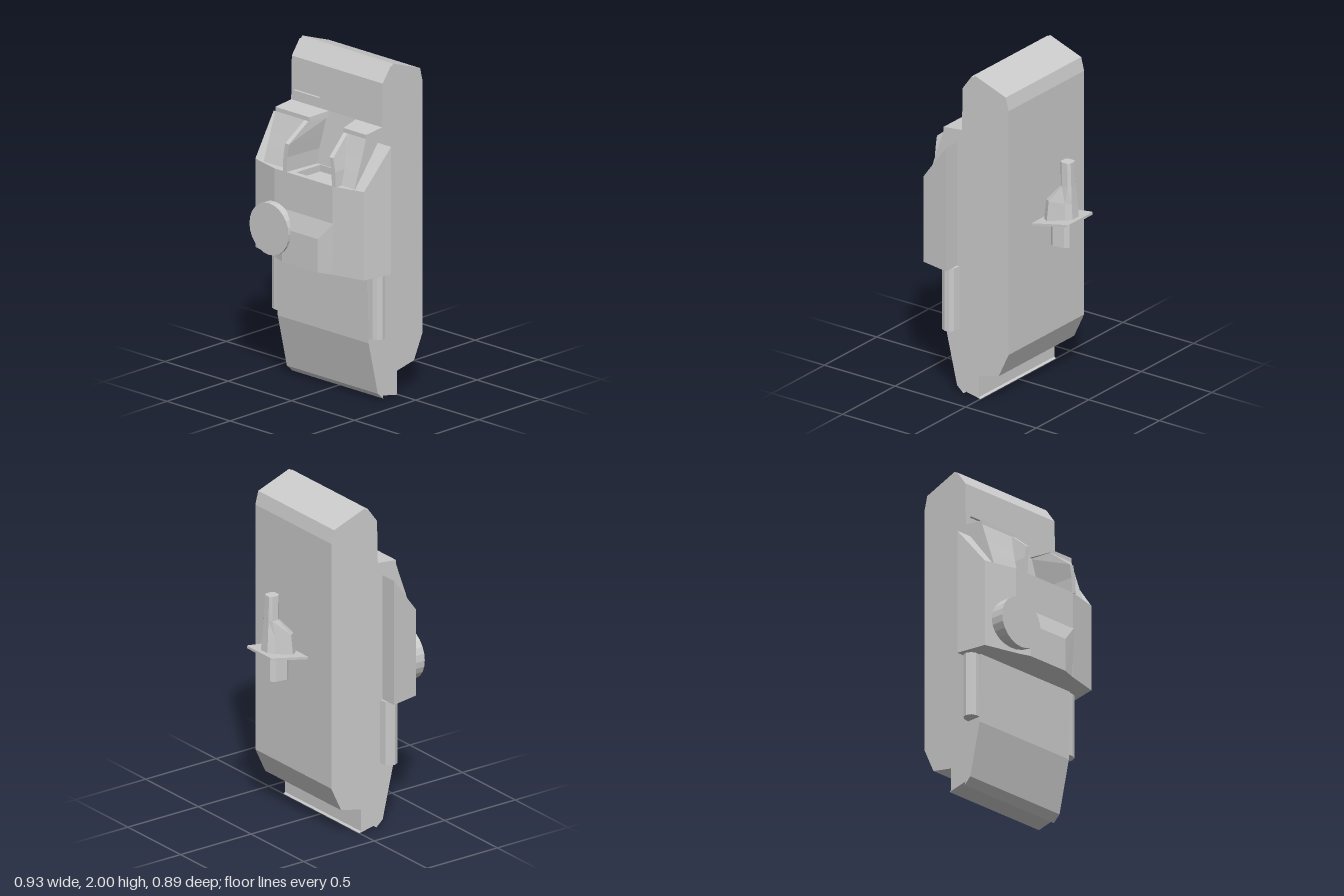
import * as THREE from 'three';
import { ConvexGeometry } from 'three/addons/geometries/ConvexGeometry.js';

const material = new THREE.MeshStandardMaterial({ color: 0xcccccc, flatShading: true });

function add(group, name, geometry) {
  const mesh = new THREE.Mesh(geometry, material);
  mesh.name = name;
  group.add(mesh);
  return mesh;
}

const hull = (points) => new ConvexGeometry(points.map((p) => new THREE.Vector3(...p)));
const toShape = (points) => new THREE.Shape(points.map((p) => new THREE.Vector2(...p)));

// Stacks outlines of [x, z] points at rising heights and caps both ends.
function loft(levels) {
  const n = levels[0].ring.length;
  const pos = levels.flatMap(({ y, ring }) => ring.flatMap(([x, z]) => [x, y, z]));
  const outline = levels[0].ring.map(([x, z]) => new THREE.Vector2(x, z));
  const flip = THREE.ShapeUtils.isClockWise(outline);
  const index = [];
  const tri = (a, b, c) => (flip ? index.push(a, c, b) : index.push(a, b, c));
  for (let k = 0; k < levels.length - 1; k++) {
    for (let i = 0; i < n; i++) {
      const a = k * n + i, b = k * n + ((i + 1) % n);
      tri(a, a + n, b);
      tri(b, a + n, b + n);
    }
  }
  const caps = [[0, false], [levels.length - 1, true]];
  for (const [k, top] of caps) {
    const pts = levels[k].ring.map(([x, z]) => new THREE.Vector2(x, z));
    const ccw = !THREE.ShapeUtils.isClockWise(pts);
    for (const [a, b, c] of THREE.ShapeUtils.triangulateShape(pts, [])) {
      const area = (pts[b].x - pts[a].x) * (pts[c].y - pts[a].y) - (pts[b].y - pts[a].y) * (pts[c].x - pts[a].x);
      const up = area < 0; // clockwise in x,z faces up
      const t = up === top ? [a, b, c] : [a, c, b];
      index.push(...t.map((i) => i + k * n));
    }
  }
  const geometry = new THREE.BufferGeometry();
  geometry.setAttribute('position', new THREE.Float32BufferAttribute(pos, 3));
  geometry.setIndex(index);
  const flat = geometry.toNonIndexed();
  flat.computeVertexNormals();
  return flat;
}

// Horizontal slab from an [x, z] outline, with an optional hole.
function slab(points, y0, y1, hole) {
  const shape = toShape(points.map(([x, z]) => [x, -z]));
  if (hole) shape.holes.push(new THREE.Path(hole.map(([x, z]) => new THREE.Vector2(x, -z))));
  return new THREE.ExtrudeGeometry(shape, { depth: y1 - y0, bevelEnabled: false })
    .rotateX(-Math.PI / 2).translate(0, y0, 0);
}

export function createModel() {
  const model = new THREE.Group();
  model.name = 'device';

  // Main body: side profile as [z, y], extruded across the width
  const profile = [
    [0.04, 2], [-0.18, 1.92], [-0.2, 1.84], [-0.2, 0.33], [-0.13, 0.18], [0.01, 0.15],
    [0.01, 0.015], [0, 0.005], [0.125, 0.03], [0.12, 0.01], [0.165, 0.05], [0.24, 0.37],
    [0.25, 0.79], [0.25, 1.2], [0.17, 1.25], [0.165, 1.32], [0.13, 1.64],
    [0.125, 1.9], [0.06, 1.99], [0.05, 1.985],
  ];
  add(model, 'body', new THREE.ExtrudeGeometry(toShape(profile), { depth: 0.72, bevelEnabled: false })
    .rotateY(-Math.PI / 2).translate(0.36, 0, 0));
  add(model, 'slot', new THREE.BoxGeometry(0.2, 0.01, 0.03).translate(-0.23, 1.7, 0.13));

  // Front housing with a shallow tray in its top
  const outline = [
    [-0.465, 0.165], [-0.43, 0.35], [-0.23, 0.4], [0.23, 0.4], [0.43, 0.35], [0.465, 0.165],
  ];
  const tray = [[-0.09, 0.172], [-0.09, 0.365], [0.175, 0.365], [0.175, 0.172]];
  add(model, 'housing', slab(outline, 0.79, 1.28));
  add(model, 'housingRim', slab(outline, 1.28, 1.32, tray));
  add(model, 'frontBulge', hull([-1, 1].flatMap((s) => [
    [s * 0.24, 1.1, 0.399], [s * 0.14, 0.99, 0.43], [s * 0.14, 0.79, 0.43],
    [s * 0.23, 0.79, 0.399], [s * 0.24, 1.1, 0.38], [s * 0.23, 0.79, 0.38],
  ])));
  add(model, 'dial', new THREE.CylinderGeometry(0.155, 0.155, 0.085, 24)
    .rotateX(Math.PI / 2).translate(-0.23, 0.967, 0.4025));

  for (const s of [-1, 1]) {
    const side = s < 0 ? 'right' : 'left';
    const centre = 0.045;

    // Sloped wing beside the body
    add(model, side + 'Wing', hull([
      [s * 0.35, 1.32, 0.165], [s * 0.465, 1.32, 0.165], [s * 0.465, 1.555, 0.165],
      [s * 0.35, 1.555, 0.165], [s * 0.35, 1.32, 0.35], [s * 0.43, 1.32, 0.35],
    ]));

    // Shoulder block: sloped face with a raised inner cheek
    const steps = [
      [1.32, 0.18, 0.4, 0.355], [1.41, 0.175, 0.4, 0.325],
      [1.49, 0.16, 0.4, 0.297], [1.6, 0.14, 0.265, 0.26],
    ];
    add(model, side + 'Shoulder', loft(steps.map(([y, half, zCheek, zFace]) => {
      const inner = centre + s * half;
      return {
        y,
        ring: [
          [s * 0.36, 0.12], [inner - s * 0.02, 0.12], [inner, zCheek],
          [inner + s * 0.03, zCheek], [inner + s * 0.031, zFace], [s * 0.36, zFace],
        ],
      };
    })));

    // Lip over the shoulder
    const back = centre + s * 0.105, front = centre + s * 0.135;
    add(model, side + 'Lip', hull([
      [s * 0.36, 1.6, 0.12], [back, 1.6, 0.12], [front, 1.6, 0.26], [s * 0.36, 1.6, 0.26],
      [s * 0.36, 1.64, 0.12], [back, 1.64, 0.12], [front, 1.625, 0.26], [s * 0.36, 1.625, 0.26],
    ]));

    // Rounded side pod below the wing
    const pod = [[0.35, 0.145], [0.4, 0.155], [0.425, 0.175], [0.43, 0.2], [0.415, 0.23], [0.39, 0.24], [0.35, 0.24]];
    add(model, side + 'Pod', loft([0.4, 0.79].map((y) => ({ y, ring: pod.map(([x, z]) => [s * x, z]) }))));
  }

  // Belt clip behind the body
  const clip = new THREE.Group();
  clip.name = 'clip';
  model.add(clip);

  const plate = [[0.14, -0.2], [0.12, -0.43], [0.11, -0.445]];
  add(clip, 'clipPlate', hull([-1, 1].flatMap((s) => plate.flatMap(([x, z]) => {
    const y = 1.055 - (z + 0.2) * 0.18;
    return [[s * x, y, z], [s * x, y + 0.015, z]];
  }))));

  // Each level: height, front z, back z, front half-width, back half-width
  const section = (y, zf, zb, wf, wb) => {
    const cut = (zf - zb) * 0.2;
    const half = [[wf * 0.72, zf], [wf, zf - cut], [wb, zb + cut], [wb * 0.55, zb]];
    return { y, ring: [...half, ...half.map(([x, z]) => [-x, z]).reverse()] };
  };
  add(clip, 'clipNeck', loft([
    section(1.08, -0.23, -0.41, 0.085, 0.055),
    section(1.2, -0.24, -0.4, 0.075, 0.05),
    section(1.3, -0.325, -0.393, 0.04, 0.04),
    section(1.445, -0.318, -0.386, 0.034, 0.034),
  ]));
  add(clip, 'clipStub', loft([
    section(0.925, -0.265, -0.385, 0.06, 0.05),
    section(1.085, -0.265, -0.385, 0.06, 0.05),
  ]));

  return model;
}
